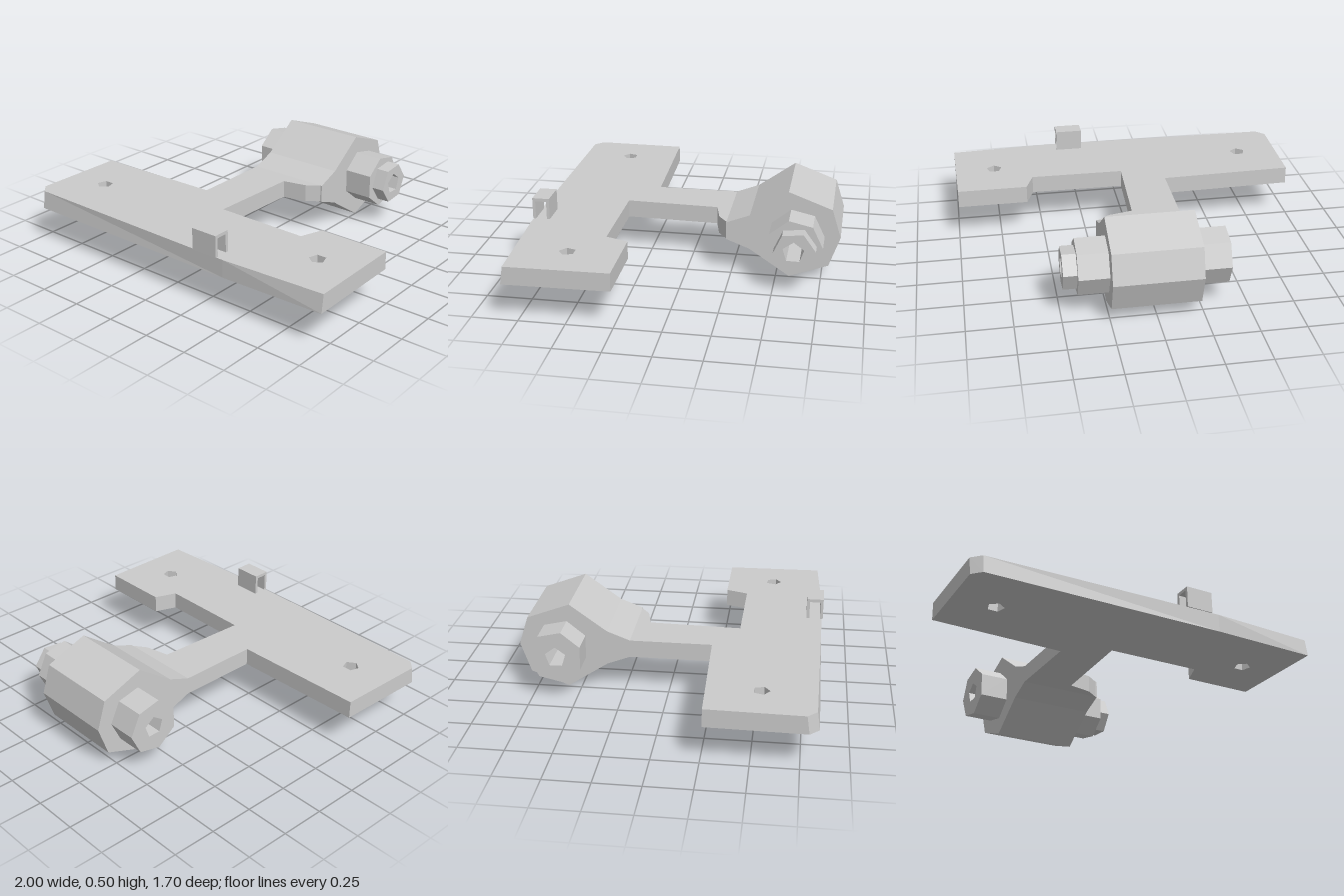
import * as THREE from 'three';

const material = new THREE.MeshStandardMaterial({ color: 0xcccccc, flatShading: true });

const ring = (cx, cy, r, n, start = 0) => Array.from({ length: n }, (_, i) => {
  const a = start + (i / n) * Math.PI * 2;
  return [cx + r * Math.cos(a), cy + r * Math.sin(a)];
});
const vectors = (pts) => pts.map(([a, b]) => new THREE.Vector2(a, b));

function extrude(outline, holes, depth) {
  const shape = new THREE.Shape(vectors(outline));
  holes.forEach((h) => shape.holes.push(new THREE.Path(vectors(h))));
  return new THREE.ExtrudeGeometry(shape, { depth, bevelEnabled: false });
}

// Side profile given as (-z, y), extruded from x0 to x1
function alongX(name, outline, holes, x0, x1) {
  const mesh = new THREE.Mesh(extrude(outline, holes, x1 - x0), material);
  mesh.geometry.rotateY(Math.PI / 2).translate(x0, 0, 0);
  mesh.name = name;
  return mesh;
}

export function createModel() {
  const group = new THREE.Group();
  group.name = 'hingeBracket';

  // Flat plate with its arm, outlined as (x, z)
  const outline = [
    [-1, 0.79], [-0.95, 0.84], [0.4, 0.845], [1, 0.83], [0.99, 0.26], [0.59, 0.26],
    [0.545, 0.385], [0.01, 0.38], [0.03, -0.14], [0.165, -0.17], [0.235, -0.22],
    [-0.235, -0.22], [-0.235, 0.24], [-0.99, 0.26],
  ].map(([x, z]) => [x, -z]);
  const screwHoles = [-0.755, 0.765].map((x) => ring(x, -0.54, 0.046, 5, -Math.PI / 2));
  const plate = new THREE.Mesh(extrude(outline, screwHoles, 0.1), material);
  plate.geometry.rotateX(-Math.PI / 2).translate(0, 0.2, 0);
  // Front edge leans back slightly toward the top
  const pos = plate.geometry.attributes.position;
  for (let i = 0; i < pos.count; i++) {
    const x = pos.getX(i);
    if (pos.getY(i) > 0.25 && pos.getZ(i) > 0.78 && Math.abs(x) > 0.9) pos.setZ(i, pos.getZ(i) - 0.015);
  }
  plate.geometry.computeVertexNormals();
  plate.name = 'plate';
  group.add(plate);

  // Faceted barrel tapering into the arm
  const cz = 0.61, cy = 0.25;
  const bore = ring(cz, cy, 0.06, 5, 0.3);
  group.add(alongX('barrel', [
    [0.22, 0.2], [0.35, 0.15], [0.575, 0], [0.79, 0.08], [0.85, 0.25],
    [0.8, 0.41], [0.56, 0.5], [0.35, 0.35], [0.22, 0.3],
  ], [bore], -0.235, 0.245));

  // Collars on both ends and the end nut, all bored through
  const collar = ring(cz, cy, 0.153, 7);
  group.add(alongX('rightCollar', collar, [bore], -0.4, -0.235));
  group.add(alongX('leftCollar', collar, [bore], 0.245, 0.41));
  group.add(alongX('endNut', ring(cz + 0.005, cy, 0.115, 6, 0.1), [bore], 0.41, 0.485));

  // Small loop on the front edge
  group.add(alongX('loop', [
    [-0.848, 0.3], [-0.832, 0.3], [-0.832, 0.402], [-0.77, 0.402],
    [-0.77, 0.3], [-0.753, 0.3], [-0.753, 0.42], [-0.848, 0.42],
  ], [], 0.205, 0.36));

  return group;
}
